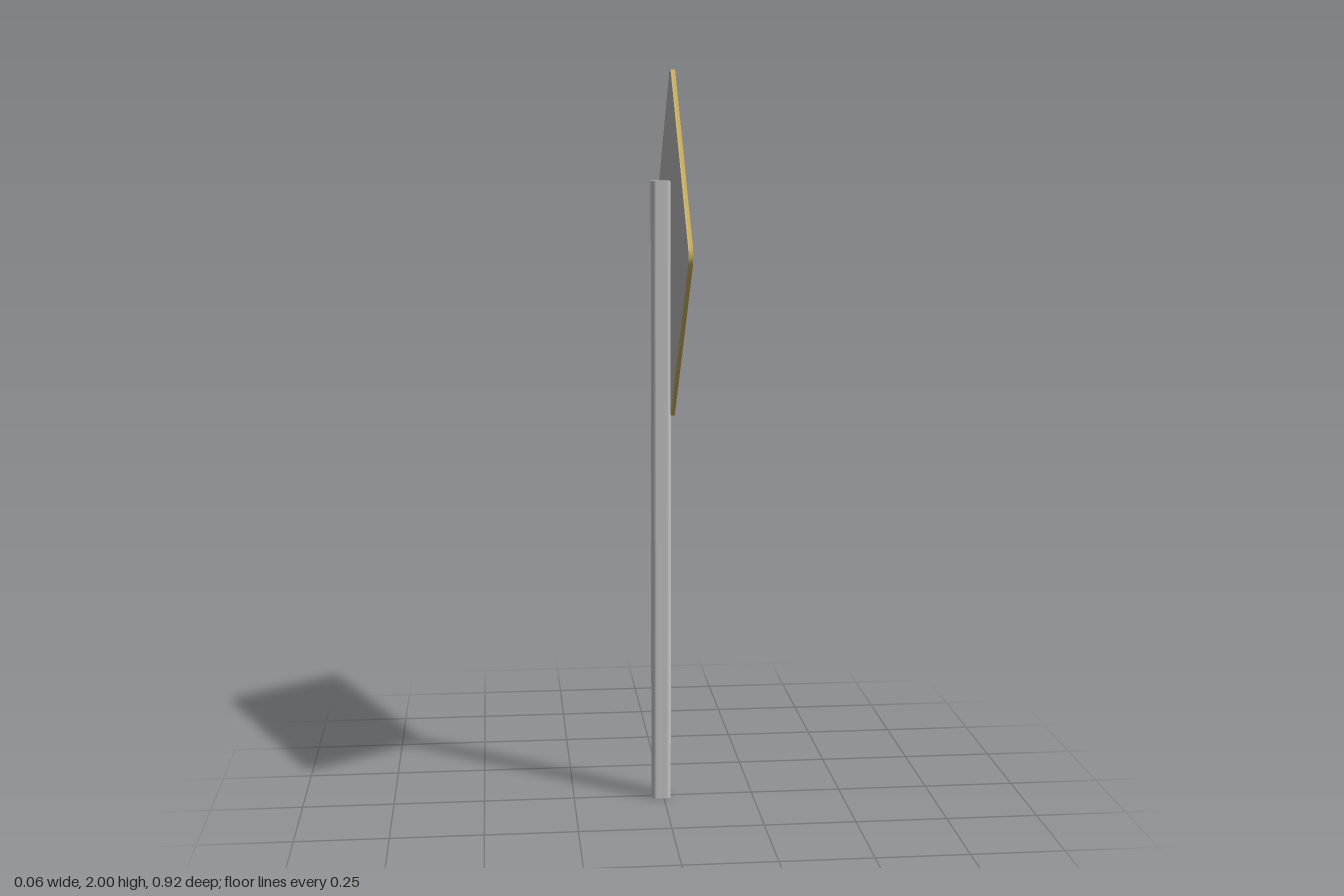
import * as THREE from 'three';

const mat = (name, color) => {
  const m = new THREE.MeshStandardMaterial({ color });
  m.name = name;
  return m;
};

// Diamond with rounded corners; tip is the distance from centre to the rounded point
function traceDiamond(path, tip, r) {
  const c = tip - r;
  for (let k = 0; k < 4; k++) {
    const a = k * Math.PI / 2;
    path.absarc(c * Math.cos(a), c * Math.sin(a), r, a - Math.PI / 4, a + Math.PI / 4, false);
  }
  path.closePath();
  return path;
}

// Polygon with small cut corners
function cutPolygon(points, cut) {
  const n = points.length, out = [];
  points.forEach((p, i) => {
    for (const q of [points[(i + n - 1) % n], points[(i + 1) % n]]) {
      const d = q.clone().sub(p).setLength(cut);
      out.push(p.clone().add(d));
    }
  });
  return new THREE.Shape(out);
}

// Plate facing +x, between x0 and x1
function plate(name, shape, x0, x1, y, material) {
  const geo = new THREE.ExtrudeGeometry(shape, { depth: x1 - x0, bevelEnabled: false, curveSegments: 6 });
  geo.rotateY(Math.PI / 2).translate(x0, y, 0);
  const mesh = new THREE.Mesh(geo, material);
  mesh.name = name;
  return mesh;
}

export function createModel() {
  const group = new THREE.Group();
  group.name = 'roadSign';
  const steel = mat('postSteel', 0xc4c4c4);
  const backGrey = mat('backGrey', 0xb4b4b4);
  const yellow = mat('signYellow', 0xd6b036);
  const black = mat('signBlack', 0x0c0c0c);
  const cy = 1.54;

  // Post: square tube with rounded edges
  const h = 0.026, r = 0.012, section = new THREE.Shape();
  [[1, 1], [-1, 1], [-1, -1], [1, -1]].forEach(([sx, sy], k) =>
    section.absarc(sx * (h - r), sy * (h - r), r, k * Math.PI / 2, (k + 1) * Math.PI / 2, false));
  section.closePath();
  const postGeo = new THREE.ExtrudeGeometry(section, { depth: 1.71, bevelEnabled: false, curveSegments: 4 });
  postGeo.rotateX(-Math.PI / 2).translate(-0.006, 0, 0);
  const post = new THREE.Mesh(postGeo, steel);
  post.name = 'post';
  group.add(post);

  // Sign panel: grey back sheet and yellow face
  const panel = () => traceDiamond(new THREE.Shape(), 0.46, 0.035);
  group.add(plate('signBack', panel(), 0.018, 0.022, cy, backGrey));
  group.add(plate('signFace', panel(), 0.022, 0.03, cy, yellow));

  // Thin black border line
  const border = traceDiamond(new THREE.Shape(), 0.445, 0.025);
  border.holes.push(traceDiamond(new THREE.Path(), 0.433, 0.02));
  group.add(plate('borderLine', border, 0.029, 0.031, cy, black));

  // Side-road junction symbol
  const symbol = cutPolygon([
    [-0.11, -0.222], [0, -0.222], [0, -0.055], [0.167, -0.055],
    [0.167, 0.055], [0, 0.055], [0, 0.222], [-0.11, 0.222],
  ].map(([x, y]) => new THREE.Vector2(x, y)), 0.007);
  group.add(plate('junctionSymbol', symbol, 0.029, 0.031, cy, black));

  return group;
}
